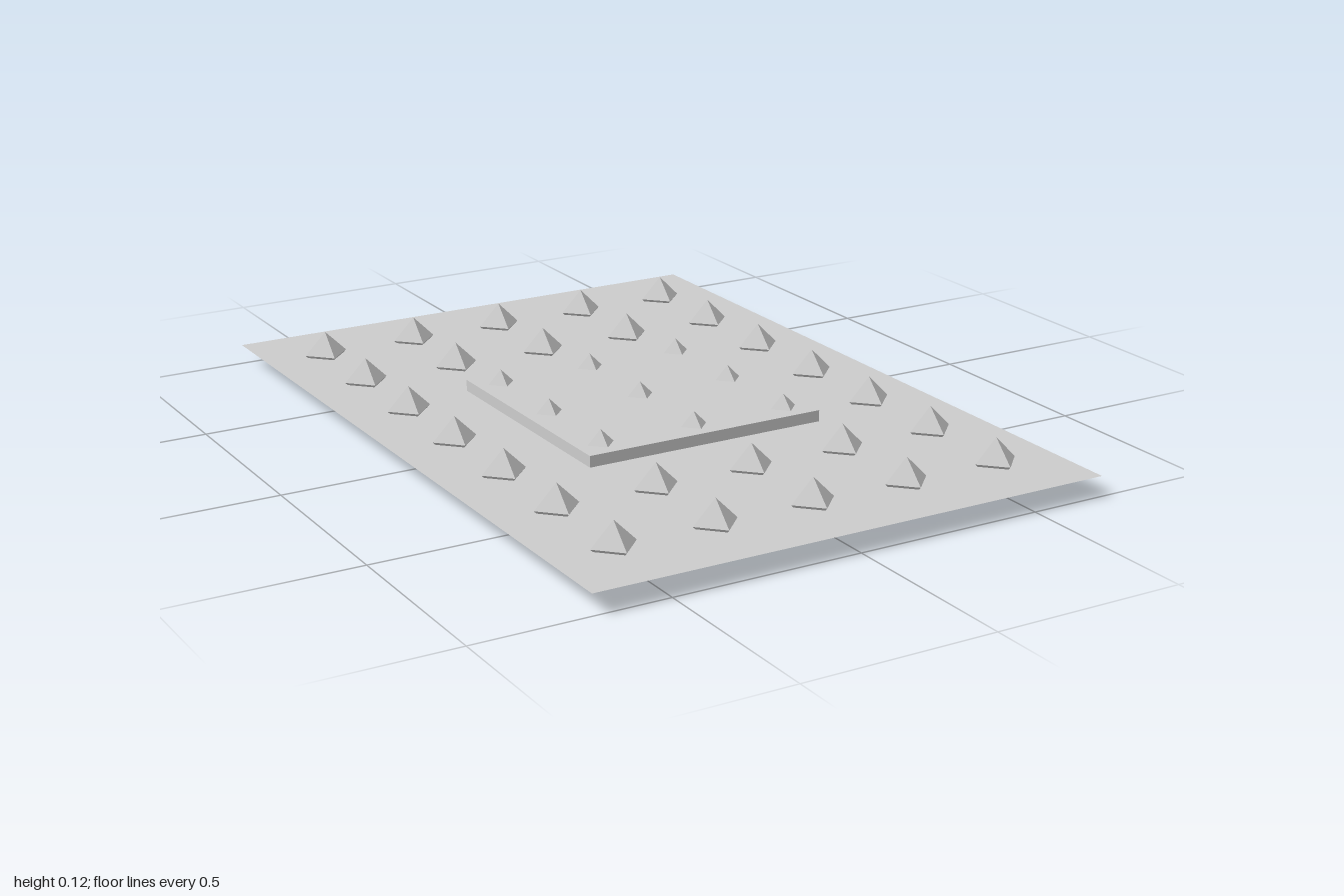
import * as THREE from 'three';

export function createModel() {
  const model = new THREE.Group();
  model.name = 'studdedFloor';

  const grey = new THREE.MeshStandardMaterial({ color: 0xcccccc, flatShading: true, side: THREE.DoubleSide });
  grey.name = 'light grey';

  const floorY = 0.053;
  const spacing = 4 / 15;
  const studRadius = 0.06;

  // Thin ground sheet
  const floor = new THREE.Mesh(new THREE.PlaneGeometry(1.4, 2).rotateX(-Math.PI / 2), grey);
  floor.name = 'floor';
  floor.position.y = floorY;
  model.add(floor);

  // Raised square platform resting on the sheet
  const height = 0.03;
  const platform = new THREE.Mesh(new THREE.BoxGeometry(0.667, height, 0.667), grey);
  platform.name = 'platform';
  platform.position.y = floorY + height / 2;
  model.add(platform);

  // Grid of octahedral studs, 5 across and 7 deep
  const studs = new THREE.Group();
  studs.name = 'studs';
  const studGeometry = new THREE.OctahedronGeometry(studRadius);
  for (let row = -3; row <= 3; row++) {
    for (let col = -2; col <= 2; col++) {
      const stud = new THREE.Mesh(studGeometry, grey);
      stud.name = 'stud';
      stud.position.set(col * spacing, studRadius, row * spacing);
      studs.add(stud);
    }
  }
  model.add(studs);

  return model;
}
